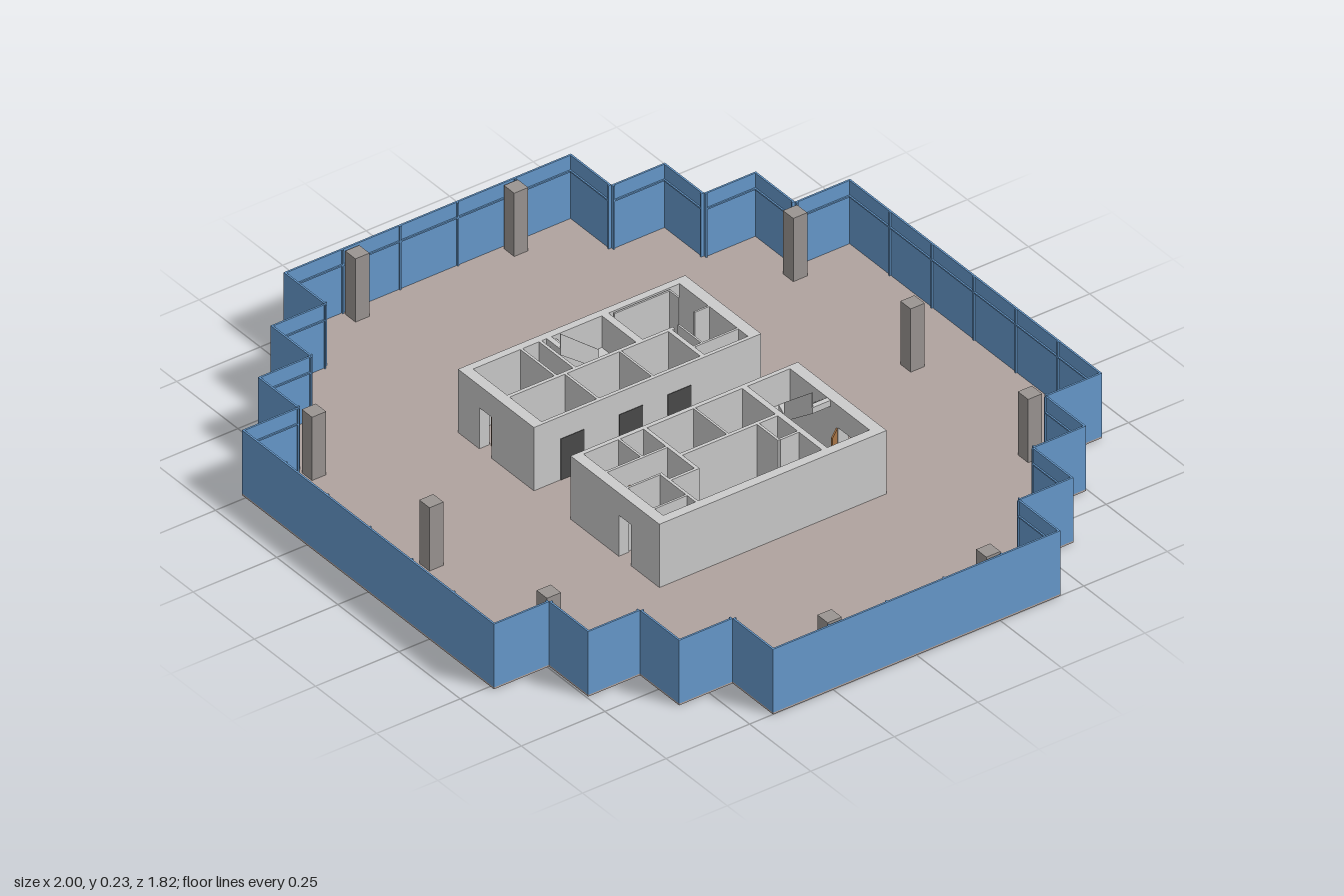
import * as THREE from 'three';

const FLOOR = 0.005, TOP = 0.19, DOOR_H = 0.125;
const mat = (color) => new THREE.MeshStandardMaterial({ color });
const grey = mat(0xcccccc), carpet = mat(0xb0a39f), glass = mat(0x6699cc);
const stone = mat(0x9a9592), wood = mat(0xa87445), dark = mat(0x4a4a4a);

function add(parent, name, geo, material) {
  const m = new THREE.Mesh(geo, material);
  m.name = name;
  parent.add(m);
  return m;
}

// box given by its min and max corners
function block(parent, name, x0, y0, z0, x1, y1, z1, material = grey) {
  const m = add(parent, name, new THREE.BoxGeometry(x1 - x0, y1 - y0, z1 - z0), material);
  m.position.set((x0 + x1) / 2, (y0 + y1) / 2, (z0 + z1) / 2);
  return m;
}
const wall = (p, x0, z0, x1, z1, name = 'partition') => block(p, name, x0, 0.0005, z0, x1, TOP, z1);

// wall along x with a doorway from d0 to d1
function doorWall(p, x0, z0, x1, z1, d0, d1, name = 'doorWall') {
  wall(p, x0, z0, d0, z1, name);
  wall(p, d1, z0, x1, z1, name);
  block(p, 'lintel', d0, DOOR_H, z0, d1, TOP, z1);
}

// door leaf standing open at an angle about its hinge
function doorLeaf(p, x, z, angle, width = 0.045) {
  const g = new THREE.BoxGeometry(width, DOOR_H - FLOOR, 0.004);
  g.translate(width / 2, (DOOR_H + FLOOR) / 2, 0);
  const m = add(p, 'doorLeaf', g, wood);
  m.position.set(x, 0, z);
  m.rotation.y = angle;
}

// stepped outline of the plan, mirrored from one quarter
function planOutline() {
  const q = [[1, 0.43], [0.835, 0.43], [0.835, 0.59], [0.675, 0.59], [0.675, 0.745], [0.515, 0.745], [0.515, 0.91]];
  const flip = (sx, sz) => q.map(([x, z]) => [x * sx, z * sz]);
  return [...q, ...flip(-1, 1).reverse(), ...flip(-1, -1), ...flip(1, -1).reverse()];
}

const toVecs = (pts) => pts.map(([x, y]) => new THREE.Vector2(x, y));
const rect = (x0, z0, x1, z1) => [[x0, z0], [x1, z0], [x1, z1], [x0, z1]];

// lift shafts: x0, z0, x1, z1
const shafts = [
  [-0.247, -0.17, -0.117, -0.03], [-0.247, -0.024, -0.117, 0.133], [-0.247, 0.14, -0.117, 0.305],
  [0.055, -0.17, 0.19, -0.03], [0.055, -0.024, 0.19, 0.115],
];

function floorSlab(outline) {
  const shape = new THREE.Shape(toVecs(outline));
  shafts.forEach((s) => shape.holes.push(new THREE.Path(toVecs(rect(...s)))));
  // stair openings, longer under the upper flight
  shape.holes.push(new THREE.Path(toVecs(
    [[-0.396, -0.08], [-0.257, -0.08], [-0.257, 0.085], [-0.31, 0.085], [-0.31, 0.1], [-0.396, 0.1]])));
  shape.holes.push(new THREE.Path(toVecs(
    [[0.055, -0.313], [0.24, -0.313], [0.24, -0.243], [0.222, -0.243], [0.222, -0.186], [0.055, -0.186]])));
  const geo = new THREE.ExtrudeGeometry(shape, { depth: FLOOR, bevelEnabled: false });
  return geo.rotateX(Math.PI / 2).translate(0, FLOOR, 0);
}

// glazed panels with mullions and a transom along every edge
function curtainWall(outline) {
  const g = new THREE.Group();
  g.name = 'curtainWall';
  outline.forEach(([ax, az], i) => {
    const [bx, bz] = outline[(i + 1) % outline.length];
    const len = Math.hypot(bx - ax, bz - az);
    const side = new THREE.Group();
    side.name = 'facadeSide';
    side.position.set(ax, 0, az);
    side.rotation.y = Math.atan2(-(bz - az), bx - ax);
    const n = Math.max(1, Math.round(len / 0.17)), w = len / n;
    for (let k = 0; k < n; k++) {
      block(side, 'lowerPane', k * w, FLOOR, 0, (k + 1) * w, 0.146, 0.005, glass);
      block(side, 'upperPane', k * w, 0.146, 0, (k + 1) * w, TOP, 0.005, glass);
    }
    for (let k = 0; k <= n; k++) {
      const x = THREE.MathUtils.clamp(k * w, 0.002, len - 0.002);
      block(side, 'mullion', x - 0.002, FLOOR, 0.0005, x + 0.002, TOP, 0.009, glass);
    }
    block(side, 'transom', 0, 0.144, 0.0005, len, 0.148, 0.009, glass);
    g.add(side);
  });
  return g;
}

// sawtooth flight climbing along +x from y0 to y1
function flightGeometry(len, y0, y1, width) {
  const n = 8, run = len / n, rise = (y1 - y0) / n, pts = [[0, y0]];
  for (let i = 0; i < n; i++) pts.push([i * run, y0 + (i + 1) * rise], [(i + 1) * run, y0 + (i + 1) * rise]);
  pts.push([len, y1 - rise * 1.5], [run, y0]);
  return new THREE.ExtrudeGeometry(new THREE.Shape(toVecs(pts)), { depth: width, bevelEnabled: false });
}

// dog-leg stair; the upper flight lies on the given side of local z
function stair(len, landing, width, gap, side) {
  const g = new THREE.Group();
  g.name = 'stair';
  const mid = 0.0975, mz = (gap + width) / 2;
  add(g, 'upperFlight', flightGeometry(len, mid, TOP, width), grey)
    .position.z = side * mz - width / 2;
  const lower = add(g, 'lowerFlight', flightGeometry(len, FLOOR, mid, width), grey);
  lower.rotation.y = Math.PI;
  lower.position.set(len, 0, -side * mz + width / 2);
  const half = width + gap / 2;
  block(g, 'landing', -landing, mid - 0.012, -half, 0, mid, half);
  // thin sloping guards at the inner edges
  [[mid, TOP, side], [mid, FLOOR, -side]].forEach(([a, b, s]) => {
    const shape = new THREE.Shape(toVecs([[0, a], [len, b], [len, b + 0.045], [0, a + 0.045]]));
    const geo = new THREE.ExtrudeGeometry(shape, { depth: 0.002, bevelEnabled: false });
    add(g, 'stairGuard', geo, grey).position.z = s * gap / 2 - 0.001;
  });
  return g;
}

function leftOut() {
  const g = new THREE.Group();
  g.name = 'westCore';
  doorWall(g, -0.417, 0.305, -0.107, 0.335, -0.33, -0.28);
  doorWall(g, -0.417, -0.345, -0.107, -0.313, -0.225, -0.175);
  wall(g, -0.417, -0.313, -0.396, 0.305, 'outerWall');
  wall(g, -0.117, -0.313, -0.107, 0.305, 'outerWall');
  wall(g, -0.257, -0.19, -0.247, 0.305);
  // shaft dividers and room walls
  wall(g, -0.247, -0.182, -0.117, -0.17);
  wall(g, -0.247, -0.03, -0.117, -0.024);
  wall(g, -0.247, 0.133, -0.117, 0.14);
  wall(g, -0.396, -0.1, -0.257, -0.08);
  doorWall(g, -0.396, 0.1, -0.257, 0.108, -0.31, -0.265);
  doorWall(g, -0.396, 0.157, -0.257, 0.164, -0.32, -0.275);
  wall(g, -0.162, -0.313, -0.156, -0.182);
  wall(g, -0.39, -0.28, -0.385, -0.11);
  wall(g, -0.385, -0.28, -0.35, -0.275);
  wall(g, -0.257, -0.21, -0.162, -0.205);
  wall(g, -0.28, -0.313, -0.275, -0.27);
  doorLeaf(g, -0.325, 0.303, 0.45);
  doorLeaf(g, -0.305, 0.11, -0.5);
  doorLeaf(g, -0.155, -0.22, 2.2);
  doorLeaf(g, -0.178, -0.31, -2.1);
  // lift doors toward the corridor
  [-0.1, 0.045, 0.22].forEach((z) =>
    block(g, 'liftDoor', -0.1185, FLOOR, z - 0.035, -0.1055, DOOR_H, z + 0.035, dark));
  const s = stair(0.115, 0.05, 0.056, 0.027, 1);
  s.rotation.y = -Math.PI / 2;
  s.position.set(-0.3265, 0, -0.03);
  g.add(s);
  return g;
}

function rightOut() {
  const g = new THREE.Group();
  g.name = 'eastCore';
  doorWall(g, 0.043, 0.305, 0.406, 0.335, 0.24, 0.29);
  doorWall(g, 0.043, -0.345, 0.406, -0.313, 0.25, 0.3);
  wall(g, 0.043, -0.313, 0.055, 0.305, 'outerWall');
  wall(g, 0.38, -0.313, 0.406, 0.305, 'outerWall');
  // shaft dividers and room walls
  wall(g, 0.055, -0.186, 0.38, -0.17);
  wall(g, 0.055, -0.03, 0.19, -0.024);
  wall(g, 0.19, -0.17, 0.2, 0.125);
  wall(g, 0.055, 0.115, 0.27, 0.125);
  wall(g, 0.2, -0.115, 0.285, -0.108);
  wall(g, 0.28, -0.17, 0.287, -0.115);
  wall(g, 0.262, 0.125, 0.27, 0.2);
  doorWall(g, 0.23, 0.2, 0.38, 0.208, 0.28, 0.325);
  wall(g, 0.23, 0.208, 0.236, 0.305);
  wall(g, 0.145, 0.125, 0.152, 0.305);
  doorWall(g, 0.055, 0.195, 0.145, 0.201, 0.09, 0.135);
  wall(g, 0.34, 0.208, 0.346, 0.305);
  doorLeaf(g, 0.28, 0.2, 0.5);
  doorLeaf(g, 0.285, 0.303, 2.3);
  doorLeaf(g, 0.135, 0.25, 0.6, 0.04);
  doorLeaf(g, 0.2, 0.25, 0.9, 0.04);
  doorLeaf(g, 0.25, -0.31, -0.9);
  const s = stair(0.115, 0.052, 0.054, 0.017, -1);
  s.position.set(0.107, 0, -0.2495);
  g.add(s);
  return g;
}

export function createModel() {
  const model = new THREE.Group();
  model.name = 'officeFloor';
  const outline = planOutline();
  add(model, 'floorSlab', floorSlab(outline), carpet);
  model.add(curtainWall(outline), leftOut(), rightOut());
  // perimeter columns
  for (const s of [-1, 1]) {
    const spots = [[-0.48, s * 0.72], [0, s * 0.72], [0.48, s * 0.72], [s * 0.965, -0.24], [s * 0.965, 0.235]];
    spots.forEach(([x, z]) => block(model, 'column', x - 0.021, FLOOR, z - 0.021, x + 0.021, TOP, z + 0.021, stone));
  }
  return model;
}
